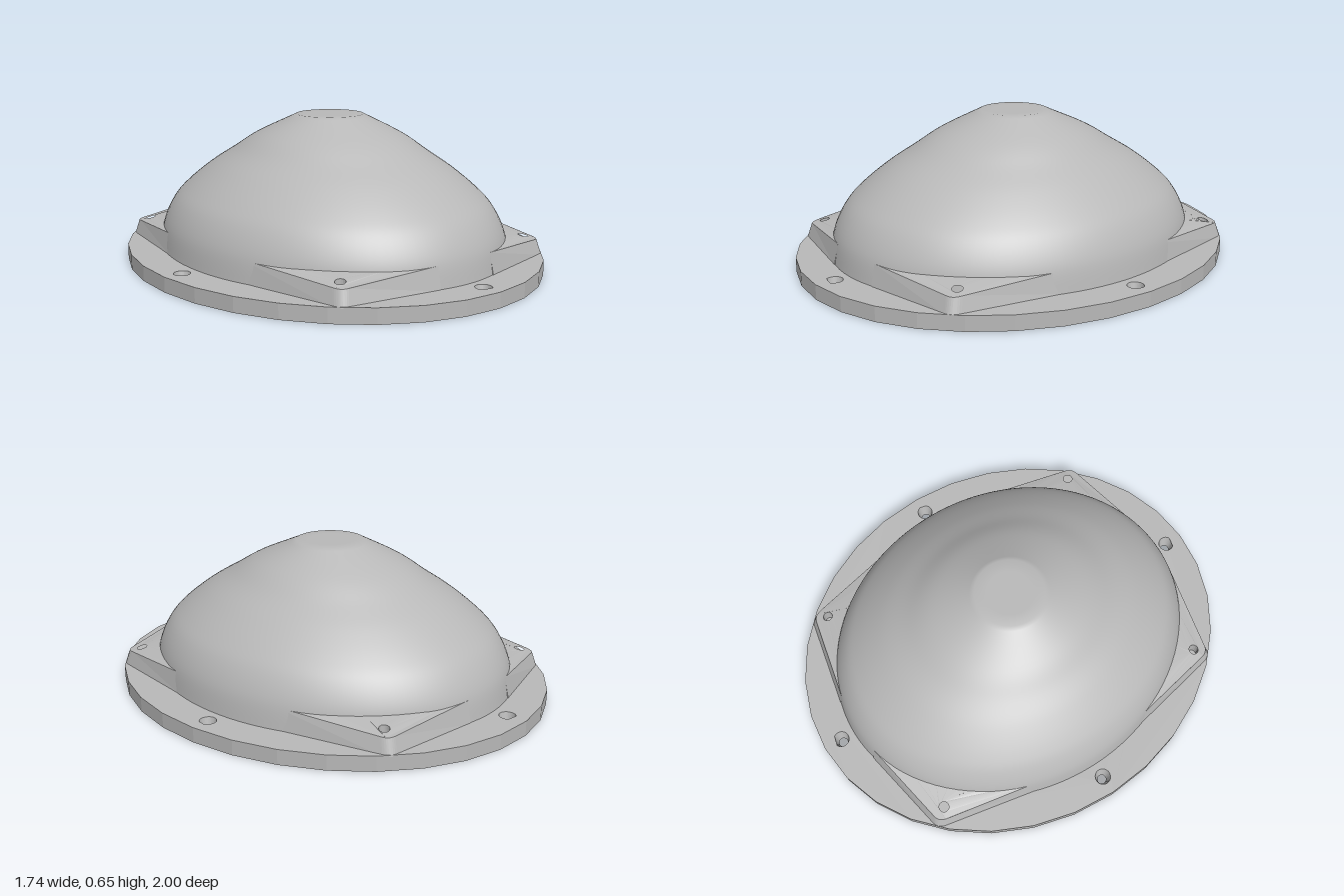
import * as THREE from 'three';
import { mergeVertices } from 'three/addons/utils/BufferGeometryUtils.js';

const BASE_TOP = 0.065;
const PAD_TOP = 0.155;

const gray = new THREE.MeshStandardMaterial({ color: 0xb8b8b8 });
gray.name = 'plainGray';

function circlePath(x, y, r) {
  const path = new THREE.Path();
  path.absarc(x, y, r, 0, Math.PI * 2, true);
  return path;
}

// Move every vertex by a rule, then refresh the normals
function reshape(geometry, rule) {
  const pos = geometry.attributes.position;
  const v = new THREE.Vector3();
  for (let i = 0; i < pos.count; i++) {
    rule(v.fromBufferAttribute(pos, i));
    pos.setXYZ(i, v.x, v.y, v.z);
  }
  geometry.computeVertexNormals();
  return geometry;
}

// Faceted oval flange with four countersunk screw holes
function baseGeometry() {
  const outline = [];
  for (let i = 0; i < 32; i++) {
    const t = (i / 32) * Math.PI * 2;
    outline.push(new THREE.Vector2(0.87 * Math.cos(t), Math.sin(t)));
  }
  const holes = [[0.787, 0], [-0.787, 0], [0, 0.915], [0, -0.915]];
  const shape = new THREE.Shape(outline);
  for (const [x, z] of holes) shape.holes.push(circlePath(x, z, 0.02));
  const geometry = new THREE.ExtrudeGeometry(shape, { depth: BASE_TOP, bevelEnabled: false, curveSegments: 16 });
  geometry.rotateX(-Math.PI / 2);
  return reshape(geometry, (v) => {
    if (v.y < BASE_TOP / 2) return;
    for (const [x, z] of holes) {
      const dx = v.x - x, dz = v.z - z;
      if (Math.hypot(dx, dz) < 0.025) {
        v.x = x + dx * 1.75;
        v.z = z + dz * 1.75;
        break;
      }
    }
  });
}

// Smooth oval dome that becomes round at its flat crown
function domeGeometry() {
  const side = new THREE.SplineCurve([
    [0.722, 0.06], [0.703, 0.17], [0.66, 0.265], [0.6, 0.336],
    [0.505, 0.42], [0.41, 0.49], [0.308, 0.567], [0.15, 0.652],
  ].map(([x, y]) => new THREE.Vector2(x, y))).getPoints(40);
  const profile = [...side, new THREE.Vector2(0.1, 0.652), new THREE.Vector2(0, 0.652)];
  let geometry = new THREE.LatheGeometry(profile, 96);
  geometry.deleteAttribute('uv');
  geometry.deleteAttribute('normal');
  geometry = mergeVertices(geometry, 1e-5);
  return reshape(geometry, (v) => {
    const k = Math.max(0, (v.y - 0.35) / 0.3);
    v.z *= 1.18 - 0.18 * Math.min(1, k ** 3);
  });
}

// Corner pad: top slopes down away from the dome, walls lean outward at the foot
function padGeometry(sx, sz) {
  const shape = new THREE.Shape();
  shape.moveTo(sx * 0.668, sz * 0.25);
  shape.lineTo(sx * 0.58, sz * 0.69);
  shape.quadraticCurveTo(sx * 0.573, sz * 0.731, sx * 0.54, sz * 0.738);
  shape.lineTo(sx * 0.15, sz * 0.815);
  for (let i = 0; i <= 12; i++) {
    const t = THREE.MathUtils.degToRad(78 - i * 5);
    shape.lineTo(sx * 0.685 * Math.cos(t), sz * 0.815 * Math.sin(t));
  }
  const hx = sx * 0.53, hz = sz * 0.68;
  shape.holes.push(circlePath(hx, hz, 0.022));
  const geometry = new THREE.ExtrudeGeometry(shape, { depth: 1, bevelEnabled: false, curveSegments: 8 });
  geometry.rotateX(-Math.PI / 2);
  return reshape(geometry, (v) => {
    if (v.y > 0.5) {
      const gap = Math.hypot(v.x / 0.705, v.z / 0.838) - 1;
      v.y = PAD_TOP - 0.165 * Math.max(0, gap);
    } else {
      v.y = BASE_TOP - 0.005;
      // the shape's second axis points to -z
      if (Math.hypot(v.x - hx, v.z + hz) > 0.025) {
        v.x *= 1.025;
        v.z *= 1.025;
      }
    }
  });
}

export function createModel() {
  const group = new THREE.Group();
  group.name = 'domedHousing';
  const add = (name, geometry) => {
    const mesh = new THREE.Mesh(geometry, gray);
    mesh.name = name;
    group.add(mesh);
  };
  add('baseFlange', baseGeometry());
  add('dome', domeGeometry());
  for (const sx of [1, -1]) {
    for (const sz of [1, -1]) {
      add(`${sz < 0 ? 'front' : 'back'}${sx > 0 ? 'Left' : 'Right'}Pad`, padGeometry(sx, sz));
    }
  }
  return group;
}
